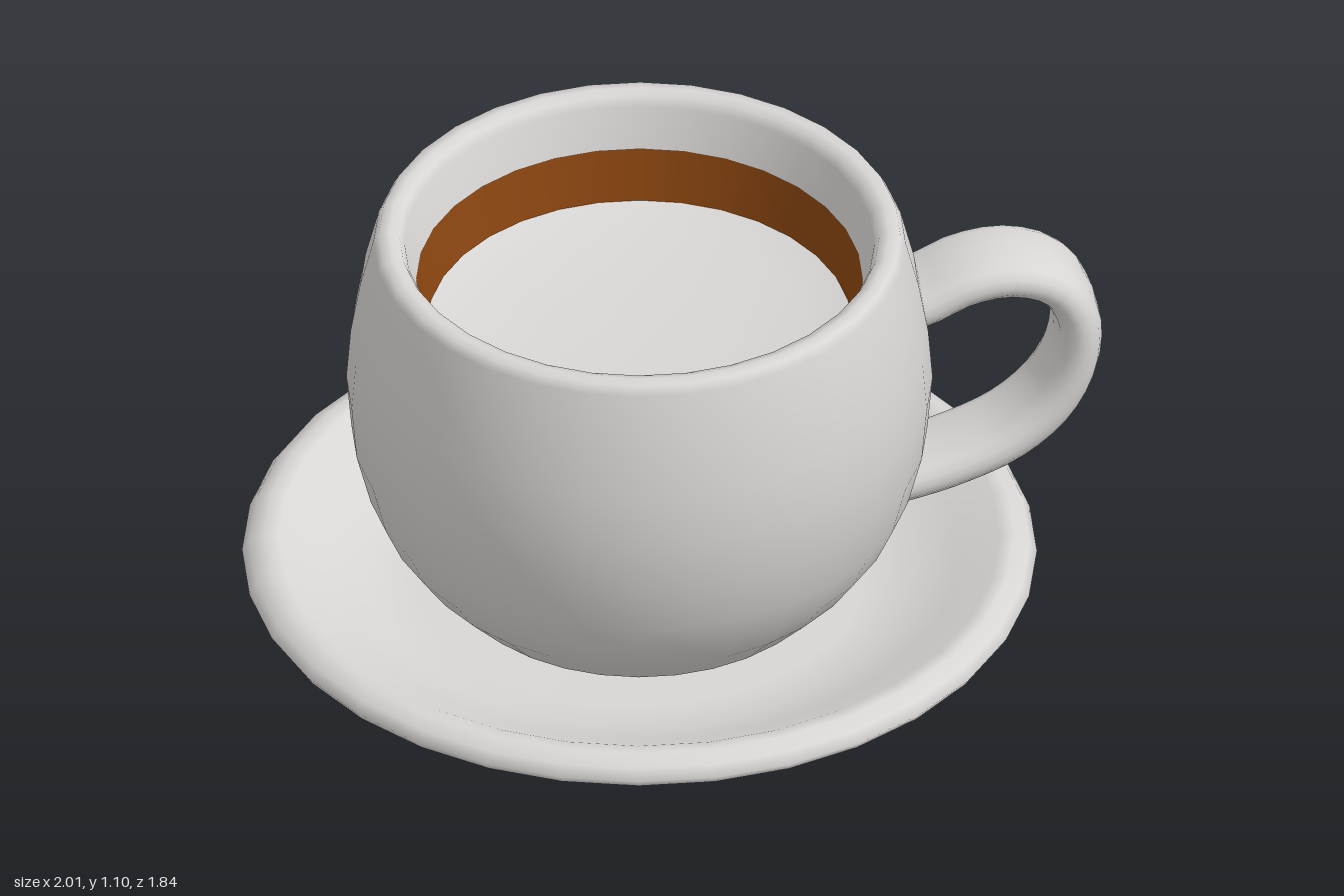
import * as THREE from 'three';
import { mergeVertices } from 'three/addons/utils/BufferGeometryUtils.js';

const CENTRE_X = -0.08;

// Surface of revolution; profile runs [radius, height] with the outside on its right
function turned(name, profile, material) {
  const points = profile.map(([r, y]) => new THREE.Vector2(r, y));
  const mesh = new THREE.Mesh(new THREE.LatheGeometry(points, 32), material);
  mesh.name = name;
  mesh.position.x = CENTRE_X;
  return mesh;
}

// Flattened strap handle: a tube widened along z with squarish sides
function handleGeometry() {
  const path = new THREE.CatmullRomCurve3([
    [0.48, 0.82], [0.59, 0.85], [0.68, 0.89], [0.79, 0.9], [0.89, 0.86],
    [0.945, 0.77], [0.945, 0.65], [0.89, 0.53], [0.79, 0.44], [0.66, 0.385],
    [0.54, 0.355], [0.44, 0.34],
  ].map(([x, y]) => new THREE.Vector3(x, y, 0)));
  const radius = 0.053;
  const tube = new THREE.TubeGeometry(path, 32, radius, 16);
  const pos = tube.attributes.position;
  for (let i = 0; i < pos.count; i++) {
    const s = pos.getZ(i) / radius;
    pos.setZ(i, 0.114 * Math.sign(s) * Math.abs(s) ** 0.6);
  }
  // Weld the seam so the shading stays smooth all round
  tube.deleteAttribute('uv');
  tube.deleteAttribute('normal');
  const welded = mergeVertices(tube, 1e-4);
  welded.computeVertexNormals();
  return welded;
}

export function createModel() {
  const porcelain = new THREE.MeshStandardMaterial({ color: 0xd8d6d4 });
  porcelain.name = 'porcelain';
  const coffee = new THREE.MeshStandardMaterial({ color: 0x8a4510 });
  coffee.name = 'coffee brown';

  const model = new THREE.Group();
  model.name = 'cupAndSaucer';

  // Saucer: underside, rounded lip, then the well
  model.add(turned('saucer', [
    [0, 0.005], [0.3, 0.005], [0.57, 0.015], [0.75, 0.08], [0.91, 0.175], [0.922, 0.195],
    [0.905, 0.22], [0.87, 0.24], [0.835, 0.235], [0.74, 0.185], [0.63, 0.14],
    [0.52, 0.125], [0, 0.125],
  ], porcelain));

  // Cup: base, rounded belly, rim and upper inside wall
  model.add(turned('cup', [
    [0, 0.1], [0.36, 0.1], [0.45, 0.155], [0.54, 0.25], [0.595, 0.33], [0.635, 0.42],
    [0.668, 0.55], [0.68, 0.69], [0.67, 0.82], [0.648, 0.95], [0.617, 1.075],
    [0.605, 1.097], [0.58, 1.1], [0.557, 1.093], [0.545, 1.07], [0.518, 0.97],
  ], porcelain));

  // Brown band on the inside wall
  model.add(turned('coffeeRing', [[0.518, 0.97], [0.493, 0.84]], coffee));

  // Shallow dished floor below the band
  model.add(turned('cupFloor', [
    [0.493, 0.84], [0.4, 0.815], [0.2, 0.8], [0, 0.798],
  ], porcelain));

  const handle = new THREE.Mesh(handleGeometry(), porcelain);
  handle.name = 'handle';
  model.add(handle);

  return model;
}
